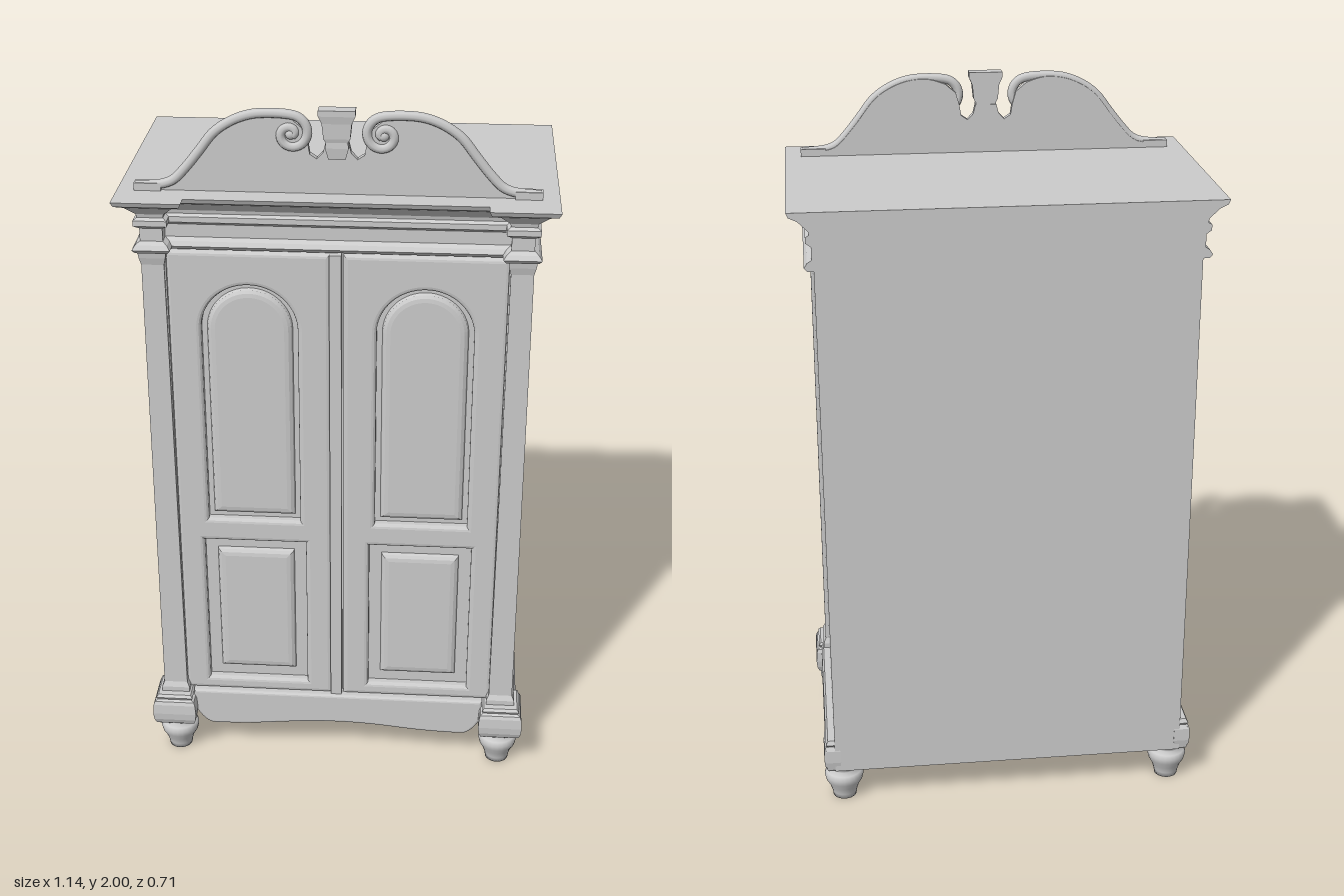
import * as THREE from 'three';

const paint = new THREE.MeshStandardMaterial({ color: 0xcccccc });
paint.name = 'pale grey paint';

function add(parent, name, geometry, x = 0, y = 0, z = 0) {
  const mesh = new THREE.Mesh(geometry, paint);
  mesh.name = name;
  mesh.position.set(x, y, z);
  parent.add(mesh);
  return mesh;
}

// Box given by its limits
function block(parent, name, x0, x1, y0, y1, z0, z1) {
  return add(parent, name, new THREE.BoxGeometry(x1 - x0, y1 - y0, z1 - z0),
    (x0 + x1) / 2, (y0 + y1) / 2, (z0 + z1) / 2);
}

// Stack a floor plan upward; profile is [offset, height], plan(offset) gives [x, z] corners
function moulding(plan, profile) {
  const pos = [];
  const rings = profile.map(([o, y]) => plan(o).map(([x, z]) => [x, y, z]));
  const n = rings[0].length;
  for (let r = 0; r < rings.length - 1; r++) {
    for (let i = 0; i < n; i++) {
      const j = (i + 1) % n;
      const [a, b, c, d] = [rings[r][i], rings[r][j], rings[r + 1][j], rings[r + 1][i]];
      pos.push(...a, ...b, ...c, ...a, ...c, ...d);
    }
  }
  const cap = (ring, flip) => {
    const flat = ring.map(([x, , z]) => new THREE.Vector2(x, -z));
    for (const [a, b, c] of THREE.ShapeUtils.triangulateShape(flat, [])) {
      pos.push(...ring[a], ...ring[flip ? c : b], ...ring[flip ? b : c]);
    }
  };
  cap(rings[0], true);
  cap(rings[rings.length - 1], false);
  const g = new THREE.BufferGeometry();
  g.setAttribute('position', new THREE.Float32BufferAttribute(pos, 3));
  g.computeVertexNormals();
  return g;
}

const rectPlan = (x0, x1, z0, z1) => (o) =>
  [[x1 + o, z0 - o], [x0 - o, z0 - o], [x0 - o, z1 + o], [x1 + o, z1 + o]];

// Rectangle, optionally with a round-arched top
function panelOutline(path, x0, x1, y0, y1, arched) {
  const r = (x1 - x0) / 2;
  path.moveTo(x0, y0);
  path.lineTo(x1, y0);
  if (arched) {
    path.lineTo(x1, y1 - r);
    path.absarc((x0 + x1) / 2, y1 - r, r, 0, Math.PI, false);
  } else {
    path.lineTo(x1, y1);
    path.lineTo(x0, y1);
  }
  path.closePath();
  return path;
}

function bevelled(shape, thick, bevelWidth, bevelHeight) {
  return new THREE.ExtrudeGeometry(shape, {
    depth: thick - bevelHeight, bevelEnabled: true, bevelSize: bevelWidth,
    bevelOffset: -bevelWidth, bevelThickness: bevelHeight, bevelSegments: 3, curveSegments: 16,
  });
}

function makeDoor(side) {
  const door = new THREE.Group();
  door.name = side > 0 ? 'leftDoor' : 'rightDoor';
  const mid = side * 0.235;
  const frame = panelOutline(new THREE.Shape(), mid - 0.218, mid + 0.218, 0.21, 1.615, false);
  const panels = [[0.13, 0.8, 1.52, true], [0.145, 0.25, 0.73, false]];
  for (const [w, y0, y1, arched] of panels) {
    frame.holes.push(panelOutline(new THREE.Path(), mid - w, mid + w, y0, y1, arched));
    const inset = arched ? 0.015 : 0.035;
    const field = panelOutline(new THREE.Shape(), mid - w + inset, mid + w - inset,
      y0 + inset, y1 - inset, arched);
    add(door, 'raisedPanel', bevelled(field, 0.02, 0.022, 0.014), 0, 0, 0.243);
  }
  add(door, 'doorFrame', bevelled(frame, 0.026, 0.012, 0.01), 0, 0, 0.246);
  return door;
}

function makePediment() {
  const pediment = new THREE.Group();
  pediment.name = 'pediment';
  const top = [[0.52, 1.785], [0.46, 1.79], [0.42, 1.805], [0.37, 1.86], [0.31, 1.935],
    [0.24, 1.975], [0.17, 1.985], [0.115, 1.97]];
  const crest = new THREE.SplineCurve(top.map((p) => new THREE.Vector2(...p))).getPoints(32);

  // Back board with two round notches beside the finial
  const half = [...crest, ...[[0.085, 1.945], [0.075, 1.91], [0.07, 1.88], [0.052, 1.868],
    [0.036, 1.885], [0.03, 1.91]].map((p) => new THREE.Vector2(...p))];
  const mirror = half.map((p) => new THREE.Vector2(-p.x, p.y)).reverse();
  const board = new THREE.Shape([new THREE.Vector2(-0.52, 1.77), new THREE.Vector2(0.52, 1.77),
    ...half, ...mirror]);
  add(pediment, 'pedimentBoard',
    new THREE.ExtrudeGeometry(board, { depth: 0.02, bevelEnabled: false }), 0, 0, 0.23);

  // Swan-neck moulding ending in a spiral scroll
  for (const s of [1, -1]) {
    const path = crest.filter((p, i) => i % 3 === 0 && p.x > 0.15)
      .map((p) => new THREE.Vector3(s * p.x, p.y, 0.247));
    for (let i = 0; i <= 20; i++) {
      const a = Math.PI / 2 + i * 0.42;
      const r = 0.05 - i * 0.0022;
      path.push(new THREE.Vector3(s * (0.118 + r * Math.cos(a)), 1.932 + r * Math.sin(a), 0.247));
    }
    add(pediment, 'scrollMoulding',
      new THREE.TubeGeometry(new THREE.CatmullRomCurve3(path), 110, 0.013, 8, false));
    const eye = add(pediment, 'scrollEye', new THREE.SphereGeometry(0.014, 14, 10),
      s * 0.118, 1.932, 0.25);
    eye.scale.z = 0.8;
    block(pediment, 'pedimentFoot', s * 0.49 - 0.035, s * 0.49 + 0.035, 1.77, 1.795, 0.23, 0.26);
  }

  // Flared centre finial
  add(pediment, 'finial', moulding(
    (o) => [[o, 0.232], [-o, 0.232], [-o, 0.25 + o * 0.4], [o, 0.25 + o * 0.4]],
    [[0.022, 1.87], [0.03, 1.9], [0.028, 1.915], [0.034, 1.925], [0.038, 1.965],
      [0.047, 1.985], [0.047, 2.0]]));
  return pediment;
}

export function createModel() {
  const model = new THREE.Group();
  model.name = 'wardrobe';

  // Carcass with a raised floor and a back reaching lower
  block(model, 'carcass', -0.505, 0.505, 0.19, 1.65, -0.352, 0.246);
  block(model, 'backSkirt', -0.505, 0.505, 0.11, 0.2, -0.352, -0.335);
  model.add(makeDoor(1), makeDoor(-1));
  block(model, 'doorStrip', -0.02, 0.012, 0.21, 1.615, 0.246, 0.277);

  // Cornice that steps forward over the corners
  const cornicePlan = (o) => [
    [0.51 + o, -0.354], [-0.51 - o, -0.354], [-0.51 - o, 0.295 + o], [-0.45 + o, 0.295 + o],
    [-0.45 + o, 0.257 + o], [0.45 - o, 0.257 + o], [0.45 - o, 0.295 + o], [0.51 + o, 0.295 + o]];
  add(model, 'cornice', moulding(cornicePlan, [
    [0.012, 1.62], [0.02, 1.63], [0.012, 1.642], [0, 1.65], [0, 1.685], [0.014, 1.695],
    [0.014, 1.71], [0.004, 1.716], [0.006, 1.726], [0.022, 1.742], [0.032, 1.752],
    [0.054, 1.762], [0.06, 1.775]]));
  model.add(makePediment());

  // Shaped apron
  const apron = new THREE.Shape();
  apron.moveTo(-0.43, 0.21);
  apron.lineTo(-0.43, 0.15);
  apron.quadraticCurveTo(-0.4, 0.09, -0.37, 0.09);
  apron.bezierCurveTo(-0.2, 0.09, -0.15, 0.112, 0, 0.112);
  apron.bezierCurveTo(0.15, 0.112, 0.2, 0.09, 0.37, 0.09);
  apron.quadraticCurveTo(0.4, 0.09, 0.43, 0.15);
  apron.lineTo(0.43, 0.21);
  add(model, 'apron', bevelled(apron, 0.035, 0.008, 0.008), 0, 0, 0.253);

  const footProfile = [[0, 0], [0.034, 0], [0.036, 0.015], [0.042, 0.035], [0.053, 0.055],
    [0.057, 0.072], [0.052, 0.085], [0.038, 0.092], [0.046, 0.102], [0.046, 0.11]]
    .map((p) => new THREE.Vector2(...p));
  const blockProfile = [[-0.02, 0.1], [-0.006, 0.112], [0, 0.128], [0.002, 0.15], [0, 0.18],
    [-0.004, 0.19], [-0.012, 0.194], [-0.008, 0.202], [-0.014, 0.21]];
  const railProfile = [[-0.004, 0.108], [0, 0.115], [0.004, 0.14], [0.003, 0.178],
    [-0.004, 0.19], [0.002, 0.198], [-0.004, 0.21]];

  for (const s of [1, -1]) {
    // Slightly tapering pilaster
    const centre = s * 0.482;
    add(model, 'pilaster', moulding(
      (o) => rectPlan(centre - 0.027, centre + 0.027, 0.2, 0.283)(o),
      [[0.014, 0.2], [0.014, 0.225], [0.007, 0.24], [0.003, 1.58], [0.008, 1.6], [0.012, 1.63]]));
    block(model, 'pilasterEdge', s * 0.456 - 0.008, s * 0.456 + 0.008, 0.21, 1.62, 0.24, 0.28);

    // Side base rail, corner blocks and turned feet
    add(model, 'baseRail',
      moulding(rectPlan(s * 0.51 - 0.018, s * 0.51 + 0.018, -0.35, 0.25), railProfile));
    add(model, 'frontCornerBlock',
      moulding(rectPlan(s * 0.484 - 0.062, s * 0.484 + 0.062, 0.206, 0.33), blockProfile));
    add(model, 'rearCornerBlock',
      moulding(rectPlan(s * 0.484 - 0.05, s * 0.484 + 0.05, -0.35, -0.25), blockProfile));
    for (const z of [0.265, -0.298]) {
      add(model, 'foot', new THREE.LatheGeometry(footProfile, 24), s * 0.48, 0, z);
    }
  }
  return model;
}
